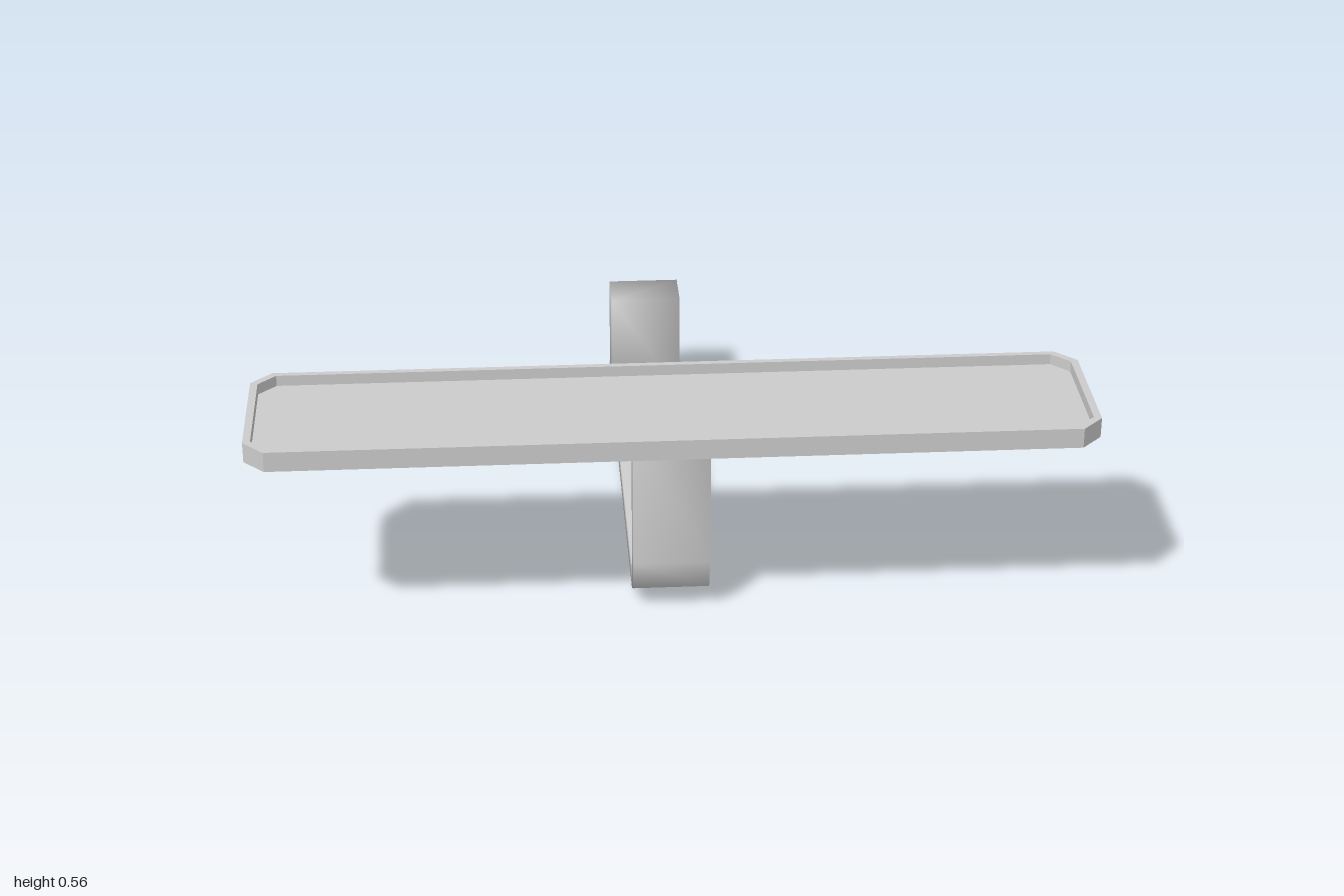
import * as THREE from 'three';

const grey = () => new THREE.MeshStandardMaterial({ color: 0xcccccc });

// Smooth-shaded bar of rectangular sections; each station is [outerZ, outerY, innerZ, innerY]
function loftBar(name, halfWidth, stations) {
  const pos = [], idx = [];
  for (const [oz, oy, iz, iy] of stations) {
    pos.push(-halfWidth, oy, oz, halfWidth, oy, oz, halfWidth, iy, iz, -halfWidth, iy, iz);
  }
  const last = (stations.length - 1) * 4;
  for (let r = 0; r < last; r += 4) {
    for (let j = 0; j < 4; j++) {
      const a = r + j, b = r + (j + 1) % 4;
      idx.push(a, a + 4, b + 4, a, b + 4, b);
    }
  }
  idx.push(0, 1, 2, 0, 2, 3);
  idx.push(last, last + 2, last + 1, last, last + 3, last + 2);
  const geo = new THREE.BufferGeometry();
  geo.setAttribute('position', new THREE.Float32BufferAttribute(pos, 3));
  geo.setIndex(idx);
  geo.computeVertexNormals();
  const mesh = new THREE.Mesh(geo, grey());
  mesh.name = name;
  return mesh;
}

// Corner points of a rectangle with cut corners
function cutRect(hx, hz, cut) {
  return [
    [hx, -hz + cut], [hx, hz - cut], [hx - cut, hz], [-hx + cut, hz],
    [-hx, hz - cut], [-hx, -hz + cut], [-hx + cut, -hz], [hx - cut, -hz],
  ].map(([x, z]) => new THREE.Vector2(x, z));
}

// Flat slab lying in xz, from y0 to y1
function slab(name, shape, y0, y1, z) {
  const geo = new THREE.ExtrudeGeometry(shape, { depth: y1 - y0, bevelEnabled: false });
  geo.rotateX(-Math.PI / 2);
  geo.translate(0, y0, z);
  const mesh = new THREE.Mesh(geo, grey());
  mesh.name = name;
  return mesh;
}

export function createModel() {
  const model = new THREE.Group();
  model.name = 'trayBracket';

  // Shallow tray: floor plus raised rim
  const tray = new THREE.Group();
  tray.name = 'tray';
  const outer = cutRect(1, 0.201, 0.05);
  const rim = new THREE.Shape(outer);
  rim.holes.push(new THREE.Path(cutRect(0.982, 0.186, 0.042)));
  tray.add(slab('trayFloor', new THREE.Shape(outer), 0.515, 0.538, 0.503));
  tray.add(slab('trayRim', rim, 0.538, 0.565, 0.503));
  model.add(tray);

  // Bent arm: down from the tray, round the bend, back to the slanted tip
  model.add(loftBar('bentArm', 0.093, [
    [0.54, 0.52, 0.47, 0.52],
    [0.54, 0.14, 0.47, 0.14],
    [0.52, 0.06, 0.468, 0.1],
    [0.463, 0.026, 0.445, 0.086],
    [-0.645, 0.016, -0.655, 0.077],
    [-0.68, 0, -0.704, 0.066],
  ]));

  // Upright post at the back end
  model.add(loftBar('backPost', 0.093, [
    [-0.547, 0.325, -0.674, 0.325],
    [-0.547, 0.05, -0.67, 0.05],
  ]));

  return model;
}
